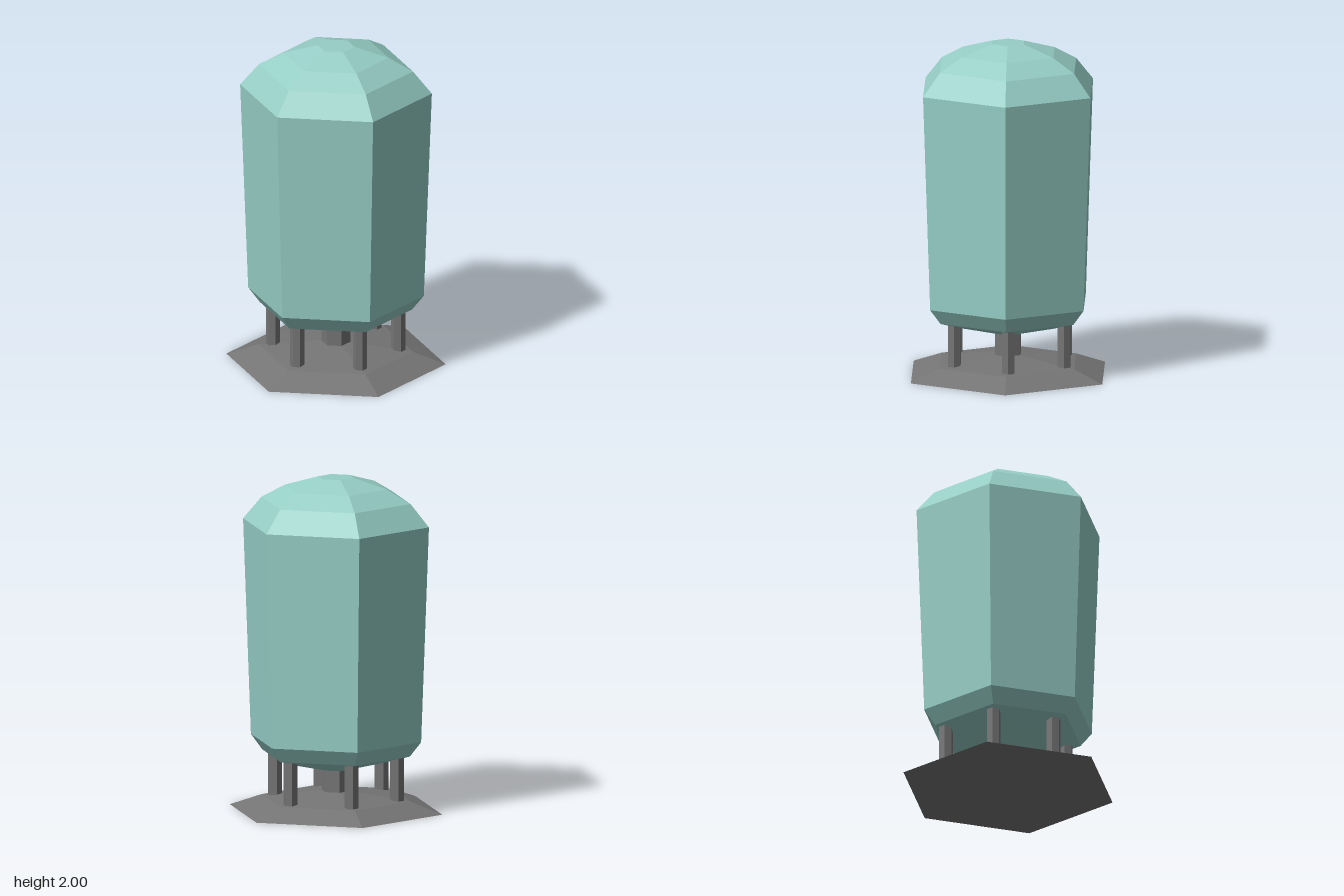
import * as THREE from 'three';

const SIDES = 6;

// Six-sided turned solid, listed from the bottom up as [radius, height]; corners face +z and -z.
function hexSolid(name, profile, material) {
  const points = profile.map(([r, y]) => new THREE.Vector2(r, y));
  const mesh = new THREE.Mesh(new THREE.LatheGeometry(points, SIDES), material);
  mesh.name = name;
  return mesh;
}

function hexPost(name, radius, bottom, top, material) {
  return hexSolid(name, [[0, bottom], [radius, bottom], [radius, top], [0, top]], material);
}

export function createModel() {
  const model = new THREE.Group();
  model.name = 'tankOnStand';
  const teal = new THREE.MeshStandardMaterial({ color: 0x96cec6, flatShading: true });
  const grey = new THREE.MeshStandardMaterial({ color: 0x757575, flatShading: true });

  // Tank: shallow underside, bevel, flared wall and faceted dome
  model.add(hexSolid('tank', [
    [0, 0.245], [0.09, 0.245], [0.315, 0.3], [0.455, 0.34],
    [0.525, 0.43], [0.573, 1.725],
    [0.46, 1.86], [0.315, 1.94], [0.11, 2], [0, 2],
  ], teal));

  // Base plate: low stepped hexagonal mound, flat underneath
  model.add(hexSolid('base', [
    [0, 0], [0.655, 0], [0.46, 0.07], [0.09, 0.115], [0, 0.115],
  ], grey));

  // Thick central post
  model.add(hexPost('centrePost', 0.087, 0.08, 0.28, grey));

  // Ring of six thin legs, one under each corner of the tank
  const legs = new THREE.Group();
  legs.name = 'legs';
  legs.position.set(0.003, 0, -0.012);
  for (let i = 0; i < SIDES; i++) {
    const a = (i / SIDES) * Math.PI * 2;
    const leg = hexPost('leg', 0.043, 0.07, 0.335, grey);
    leg.position.set(Math.sin(a) * 0.375, 0, Math.cos(a) * 0.375);
    legs.add(leg);
  }
  model.add(legs);

  return model;
}
